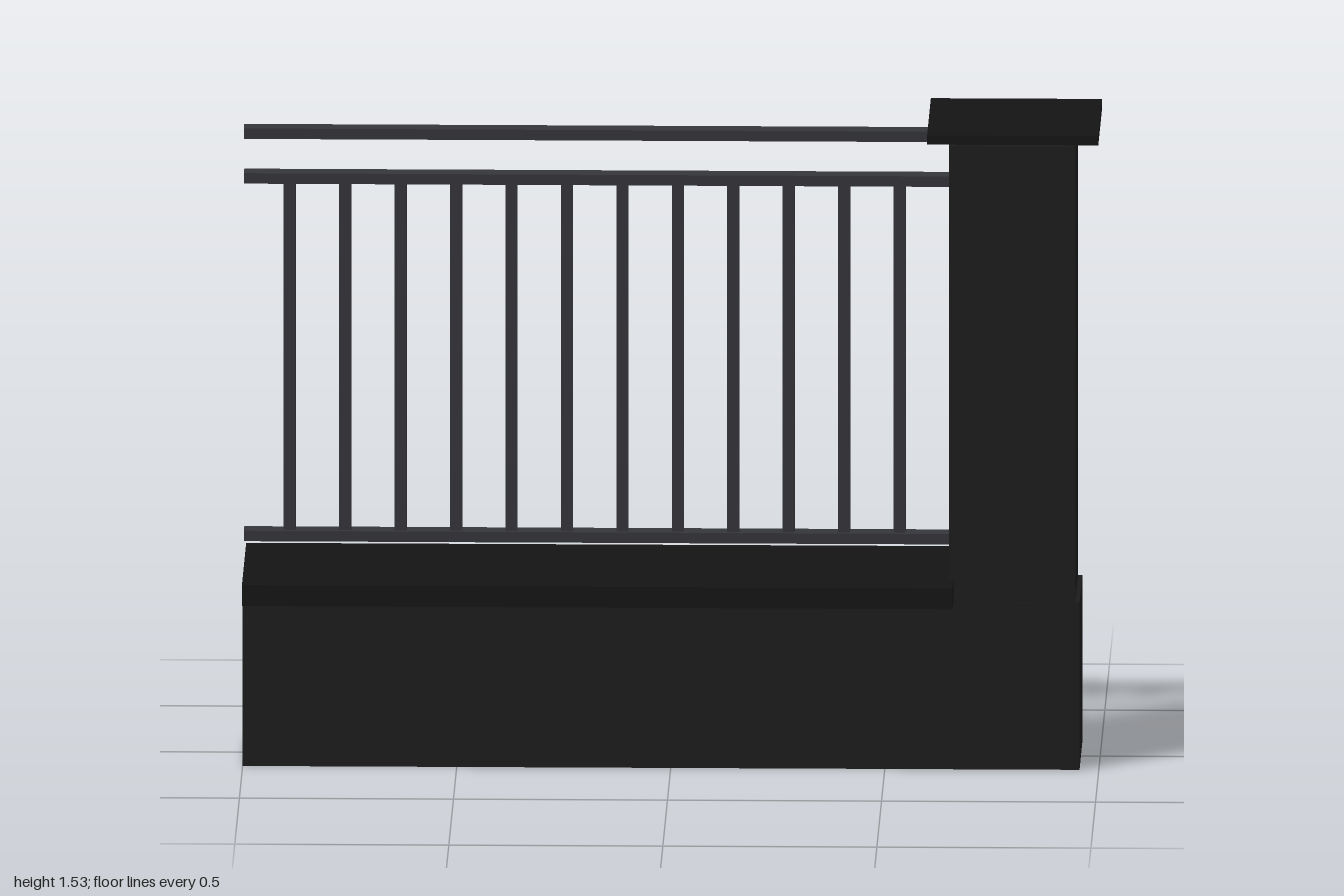
import * as THREE from 'three';

export function createModel() {
  const group = new THREE.Group();
  const masonry = new THREE.MeshStandardMaterial({ color: 0x1c1c1d });
  const capping = new THREE.MeshStandardMaterial({ color: 0x141415 });
  const metal = new THREE.MeshStandardMaterial({ color: 0x35363a });

  // Box given by its x and y extents and its depth, centred on z = 0
  function block(name, x0, x1, y0, y1, depth, material, parent = group) {
    const mesh = new THREE.Mesh(new THREE.BoxGeometry(x1 - x0, y1 - y0, depth), material);
    mesh.position.set((x0 + x1) / 2, (y0 + y1) / 2, 0);
    mesh.name = name;
    parent.add(mesh);
  }

  // Low wall with its overhanging ledge
  block('lowWall', -1, 0.955, 0, 0.4, 0.3, masonry);
  block('wallLedge', -1, 0.66, 0.4, 0.45, 0.46, capping);

  // End pillar with a thin cap raised just above it
  block('pillar', 0.65, 0.945, 0.4, 1.49, 0.298, masonry);
  block('pillarCap', 0.6, 1, 1.505, 1.527, 0.405, capping);

  // Railing: three horizontal rails and square balusters
  const railing = new THREE.Group();
  railing.name = 'railing';
  group.add(railing);
  block('bottomRail', -1, 0.655, 0.51, 0.535, 0.05, metal, railing);
  block('middleRail', -1, 0.655, 1.365, 1.39, 0.05, metal, railing);
  block('handrail', -1, 0.66, 1.472, 1.497, 0.05, metal, railing);

  const count = 12, first = -0.893, spacing = 0.1295, width = 0.028;
  for (let i = 0; i < count; i++) {
    const x = first + i * spacing;
    block('baluster', x - width / 2, x + width / 2, 0.535, 1.365, width, metal, railing);
  }

  return group;
}
